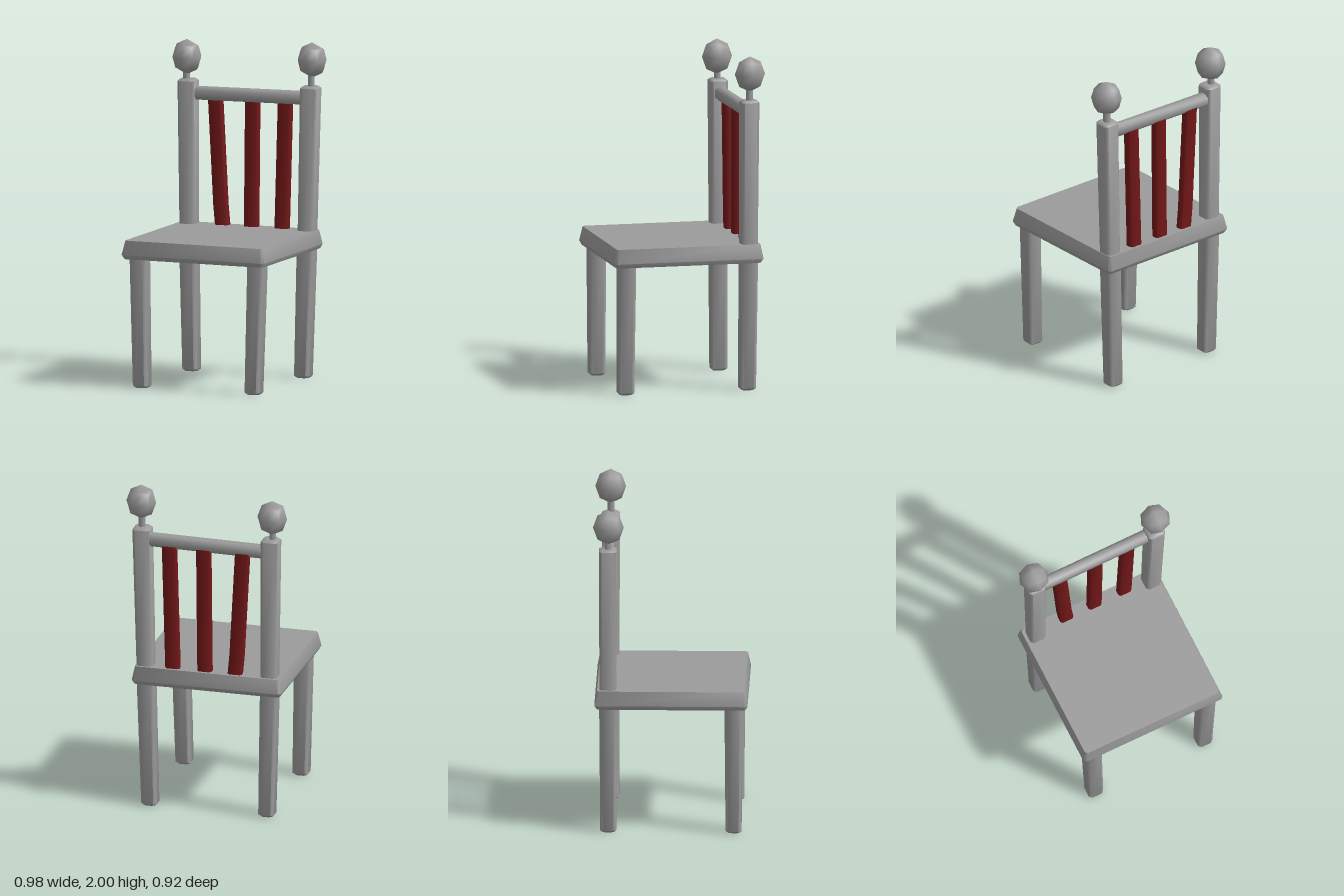
import * as THREE from 'three';
import { toCreasedNormals } from 'three/addons/utils/BufferGeometryUtils.js';

const grey = new THREE.MeshStandardMaterial({ color: 0x9b9b9b });
const red = new THREE.MeshStandardMaterial({ color: 0x731718 });

// Bar with chamfered corners, lofted through sections [y, x0, x1, z0, z1]
function bar(sections, c) {
  const pos = [];
  const index = [];
  for (const [y, x0, x1, z0, z1] of sections) {
    const ring = [
      [x1, z1 - c], [x1, z0 + c], [x1 - c, z0], [x0 + c, z0],
      [x0, z0 + c], [x0, z1 - c], [x0 + c, z1], [x1 - c, z1],
    ];
    for (const [x, z] of ring) pos.push(x, y, z);
  }
  const last = (sections.length - 1) * 8;
  for (let s = 0; s < last; s += 8) {
    for (let i = 0; i < 8; i++) {
      const j = (i + 1) % 8;
      index.push(s + i, s + j, s + 8 + j, s + i, s + 8 + j, s + 8 + i);
    }
  }
  for (let i = 1; i < 7; i++) {
    index.push(0, i + 1, i, last, last + i, last + i + 1);
  }
  const geometry = new THREE.BufferGeometry();
  geometry.setAttribute('position', new THREE.Float32BufferAttribute(pos, 3));
  geometry.setIndex(index);
  return toCreasedNormals(geometry, 0.9);
}

// Low-poly ball: a cube split once per side and pushed out to an ellipsoid
function ball(radius, halfHeight) {
  const geometry = new THREE.BoxGeometry(2, 2, 2, 2, 2, 2);
  const p = geometry.attributes.position;
  const v = new THREE.Vector3();
  for (let i = 0; i < p.count; i++) {
    v.fromBufferAttribute(p, i).normalize();
    p.setXYZ(i, v.x * radius, v.y * halfHeight, v.z * radius);
    v.set(v.x / radius, v.y / halfHeight, v.z / radius).normalize();
    geometry.attributes.normal.setXYZ(i, v.x, v.y, v.z);
  }
  return geometry;
}

export function createModel() {
  const group = new THREE.Group();
  const add = (name, geometry, material = grey) => {
    const mesh = new THREE.Mesh(geometry, material);
    mesh.name = name;
    group.add(mesh);
    return mesh;
  };

  // Seat slab, flaring out below the top and bevelled underneath
  add('seat', bar([
    [0.77, -0.46, 0.43, -0.432, 0.445],
    [0.795, -0.473, 0.441, -0.446, 0.457],
    [0.88, -0.455, 0.425, -0.43, 0.44],
  ], 0.015));

  // Four slightly leaning legs with bevelled feet
  for (const [side, xFoot, xTop] of [['right', -0.37, -0.386], ['left', 0.346, 0.368]]) {
    for (const [end, zFoot, zTop] of [['Front', 0.373, 0.371], ['Back', -0.365, -0.367]]) {
      const section = (y, x, z, h) => [y, x - h, x + h, z - h, z + h];
      add(`${side}${end}Leg`, bar([
        section(0.003, xFoot, zFoot, 0.035),
        section(0.015, xFoot, zFoot, 0.047),
        section(0.78, xTop, zTop, 0.051),
      ], 0.016));
    }
  }

  // Back posts, each with a thin neck and a ball finial
  const posts = [
    ['right', -0.386, -0.393, 1.87, -0.4, -0.364],
    ['left', 0.371, 0.392, 1.895, 0.4, -0.369],
  ];
  for (const [side, xLow, xHigh, ballY, ballX, ballZ] of posts) {
    const section = (y, x, h) => [y, x - h, x + h, -0.367 - h, -0.367 + h];
    add(`${side}BackPost`, bar([
      section(0.86, xLow, 0.049),
      section(1.728, xHigh, 0.053),
      section(1.74, xHigh, 0.041),
    ], 0.016));
    const neck = add(`${side}FinialNeck`, new THREE.CylinderGeometry(0.021, 0.021, 0.12, 8));
    neck.position.set(ballX - 0.004, 1.77, -0.367);
    const finial = add(`${side}Finial`, ball(0.091, 0.105));
    finial.position.set(ballX, ballY, ballZ);
  }

  // Top rail, lofted upright then laid across the posts
  const rail = add('topRail', bar([
    [-0.37, -1.695, -1.618, -0.408, -0.338],
    [0.37, -1.705, -1.628, -0.408, -0.338],
  ], 0.018));
  rail.rotation.z = -Math.PI / 2;

  // Three coloured slats, fanning out unevenly
  const slats = [
    ['rightSlat', -0.178, -0.191, -0.225],
    ['middleSlat', 0.005, 0.007, 0.013],
    ['leftSlat', 0.201, 0.205, 0.223],
  ];
  for (const [name, xLow, xBend, xHigh] of slats) {
    const section = (y, x) => [y, x - 0.043, x + 0.043, -0.412, -0.357];
    add(name, bar([section(0.86, xLow), section(1.0, xBend), section(1.64, xHigh)], 0.012), red);
  }

  return group;
}
